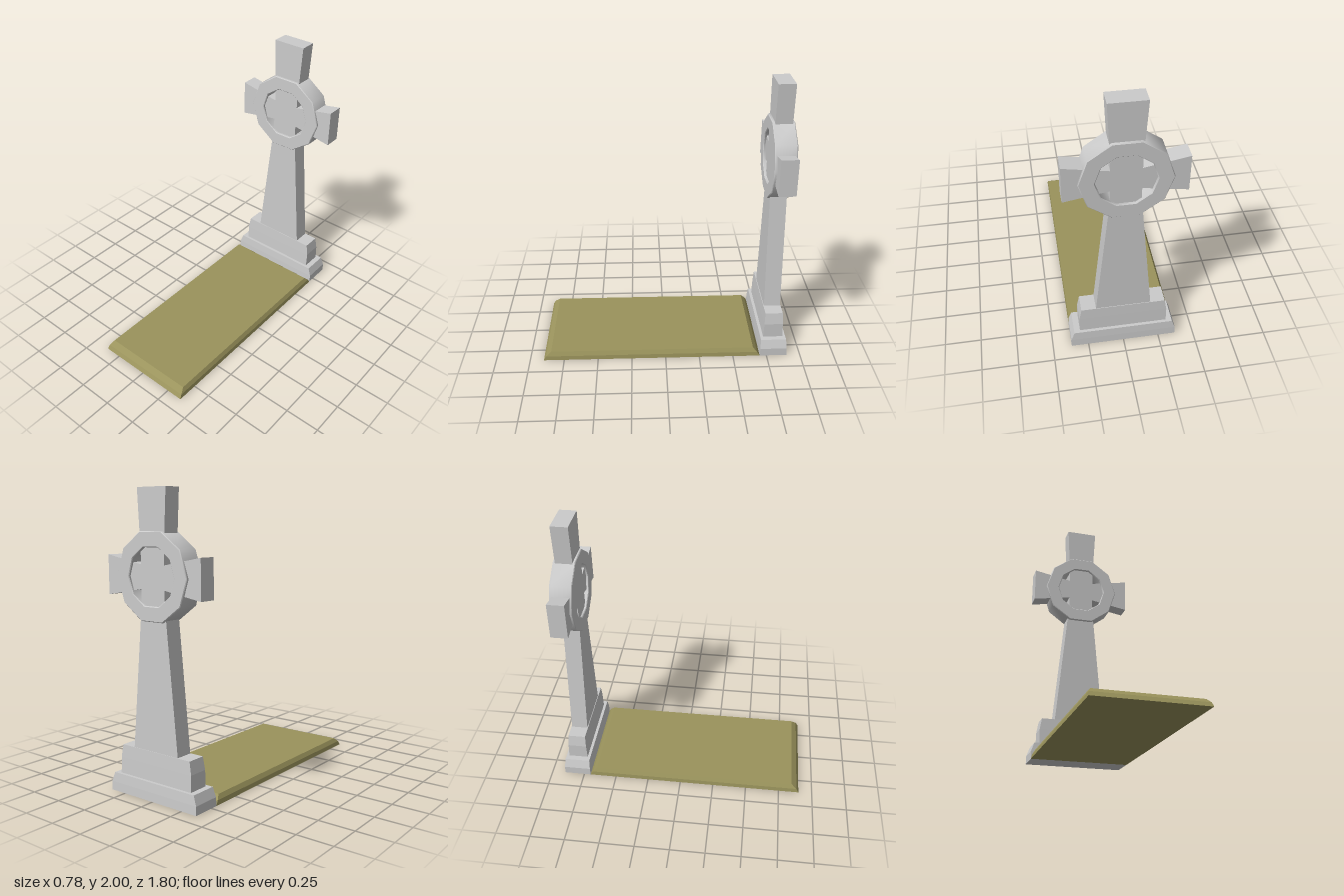
import * as THREE from 'three';
import { toCreasedNormals } from 'three/addons/utils/BufferGeometryUtils.js';

const STONE = 0xcccccc;
const OLIVE = 0x9a935c;
const CROSS_Z = -0.8;

function addMesh(group, name, geometry, color = STONE) {
  const mesh = new THREE.Mesh(geometry, new THREE.MeshStandardMaterial({ color }));
  mesh.name = name;
  group.add(mesh);
  return mesh;
}

// Closed block through stacked rectangles, each [y, halfWidth, backZ, frontZ]
function stackedBlock(levels) {
  const points = [];
  const index = [0, 2, 1, 0, 3, 2];
  levels.forEach(([y, w, back, front], level) => {
    points.push(-w, y, front, w, y, front, w, y, back, -w, y, back);
    if (level === 0) return;
    const low = (level - 1) * 4;
    const high = level * 4;
    for (let i = 0; i < 4; i++) {
      const j = (i + 1) % 4;
      index.push(low + i, low + j, high + j, low + i, high + j, high + i);
    }
  });
  const top = (levels.length - 1) * 4;
  index.push(top, top + 1, top + 2, top, top + 2, top + 3);
  const geometry = new THREE.BufferGeometry();
  geometry.setAttribute('position', new THREE.Float32BufferAttribute(points, 3));
  geometry.setIndex(index);
  const flat = geometry.toNonIndexed();
  flat.computeVertexNormals();
  return flat;
}

// Regular polygon with a corner on the +x axis
function polygon(radius, sides) {
  return Array.from({ length: sides }, (_, i) => {
    const a = (i / sides) * Math.PI * 2;
    return new THREE.Vector2(radius * Math.cos(a), radius * Math.sin(a));
  });
}

export function createModel() {
  const group = new THREE.Group();

  // Grave slab with sloping edges
  addMesh(group, 'graveSlab', stackedBlock([
    [0, 0.37, -0.7, 0.9],
    [0.03, 0.365, -0.68, 0.883],
    [0.06, 0.348, -0.65, 0.845],
  ]), OLIVE);

  // Two-tier plinth
  addMesh(group, 'plinthLower', stackedBlock([
    [0, 0.37, -0.9, -0.7],
    [0.06, 0.37, -0.898, -0.702],
    [0.125, 0.347, -0.893, -0.707],
  ]));
  addMesh(group, 'plinthUpper', stackedBlock([
    [0.125, 0.306, -0.872, -0.728],
    [0.235, 0.306, -0.868, -0.732],
    [0.322, 0.291, -0.864, -0.736],
  ]));

  // Cross with flaring arms: right half of the outline, then mirrored
  const half = [
    [0.19, 0.32], [0.098, 1.29], [0.098, 1.37],
    [0.39, 1.32], [0.39, 1.58], [0.098, 1.525],
    [0.098, 1.6], [0.12, 2],
  ];
  const mirrored = half.map(([x, y]) => [-x, y]).reverse();
  const outline = [...half, ...mirrored].map(([x, y]) => new THREE.Vector2(x, y));
  const crossDepth = 0.12;
  const cross = new THREE.ExtrudeGeometry(new THREE.Shape(outline), {
    depth: crossDepth, bevelEnabled: false,
  });
  cross.translate(0, 0, CROSS_Z - crossDepth / 2);
  addMesh(group, 'cross', cross);

  // Ten-sided ring around the crossing, with a fine bevel
  const bevel = 0.005;
  const ringDepth = 0.154;
  const ringShape = new THREE.Shape(polygon(0.295, 10));
  ringShape.holes.push(new THREE.Path(polygon(0.192, 10).reverse()));
  const ring = new THREE.ExtrudeGeometry(ringShape, {
    depth: ringDepth - 2 * bevel,
    bevelThickness: bevel, bevelSize: bevel, bevelOffset: -bevel, bevelSegments: 1,
  });
  ring.translate(0, 1.45, CROSS_Z - ringDepth / 2 + bevel);
  addMesh(group, 'crossRing', toCreasedNormals(ring, 0.7));

  return group;
}
